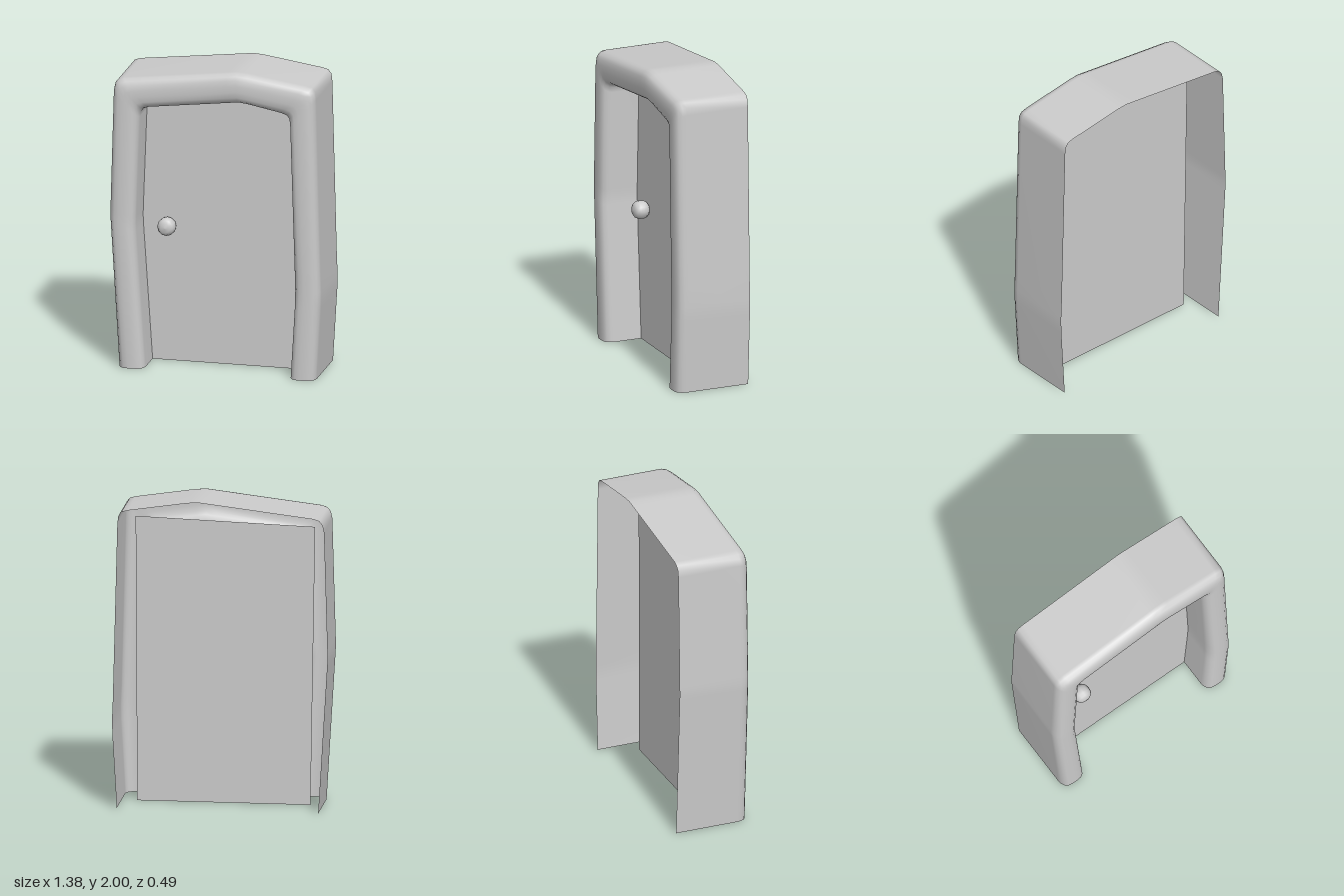
import * as THREE from 'three';

const material = new THREE.MeshStandardMaterial({ color: 0xcccccc, side: THREE.DoubleSide });

// Frame outline, from the foot at -x over the peak to the foot at +x: [outer x, outer y, inner x, inner y]
const outline = [
  [-0.63, 0, -0.46, 0], [-0.687, 0.95, -0.52, 0.9], [-0.69, 1.0, -0.522, 0.95], [-0.689, 1.05, -0.521, 1.0],
  [-0.667, 1.83, -0.497, 1.66], [-0.657, 1.875, -0.49, 1.695], [-0.637, 1.9, -0.472, 1.715],
  [-0.6, 1.913, -0.435, 1.728], [0.08, 1.993, 0.09, 1.792], [0.14, 2, 0.15, 1.8], [0.21, 1.995, 0.21, 1.793],
  [0.59, 1.938, 0.43, 1.75], [0.63, 1.927, 0.465, 1.737], [0.65, 1.9, 0.482, 1.715], [0.656, 1.85, 0.487, 1.67],
  [0.685, 0.7, 0.517, 0.7], [0.69, 0.58, 0.52, 0.58], [0.688, 0.48, 0.518, 0.48], [0.66, 0, 0.49, 0],
];

// Frame section, open at the back: [share of the way from outer to inner edge, z]
const section = [
  [0, -0.245], [0, 0.18], [0.025, 0.205], [0.1, 0.229], [0.22, 0.242], [0.4, 0.247],
  [0.6, 0.247], [0.78, 0.242], [0.9, 0.229], [0.975, 0.205], [1, 0.18], [1, 0],
];

// Sweep the section along the outline
function frameGeometry() {
  const positions = [], index = [], n = section.length;
  outline.forEach(([ox, oy, ix, iy], i) => {
    section.forEach(([t, z], j) => {
      positions.push(ox + (ix - ox) * t, oy + (iy - oy) * t, z);
      if (i < outline.length - 1 && j < n - 1) {
        const a = i * n + j, b = a + 1, c = a + n, d = c + 1;
        index.push(a, b, c, b, d, c);
      }
    });
  });
  const geometry = new THREE.BufferGeometry();
  geometry.setAttribute('position', new THREE.Float32BufferAttribute(positions, 3));
  geometry.setIndex(index);
  geometry.computeVertexNormals();
  return geometry;
}

export function createModel() {
  const group = new THREE.Group();
  group.name = 'door';
  const add = (name, geometry) => {
    const mesh = new THREE.Mesh(geometry, material);
    mesh.name = name;
    group.add(mesh);
    return mesh;
  };

  add('frame', frameGeometry());

  // Flat panel whose edges are tucked inside the hollow frame
  const corners = [[-0.55, 0], [0.56, 0], [0.57, 1.85], [-0.58, 1.81]];
  add('doorPanel', new THREE.ShapeGeometry(new THREE.Shape(corners.map(([x, y]) => new THREE.Vector2(x, y)))));

  // Rounded knob, turned to face the front
  const profile = [[0.03, 0], [0.048, 0.012], [0.058, 0.03], [0.06, 0.05], [0.058, 0.07], [0.048, 0.09], [0.03, 0.102], [0, 0.106]];
  const knob = add('knob', new THREE.LatheGeometry(profile.map(([r, h]) => new THREE.Vector2(r, h)), 12));
  knob.rotation.x = Math.PI / 2;
  knob.position.set(-0.355, 0.9, 0);

  return group;
}
